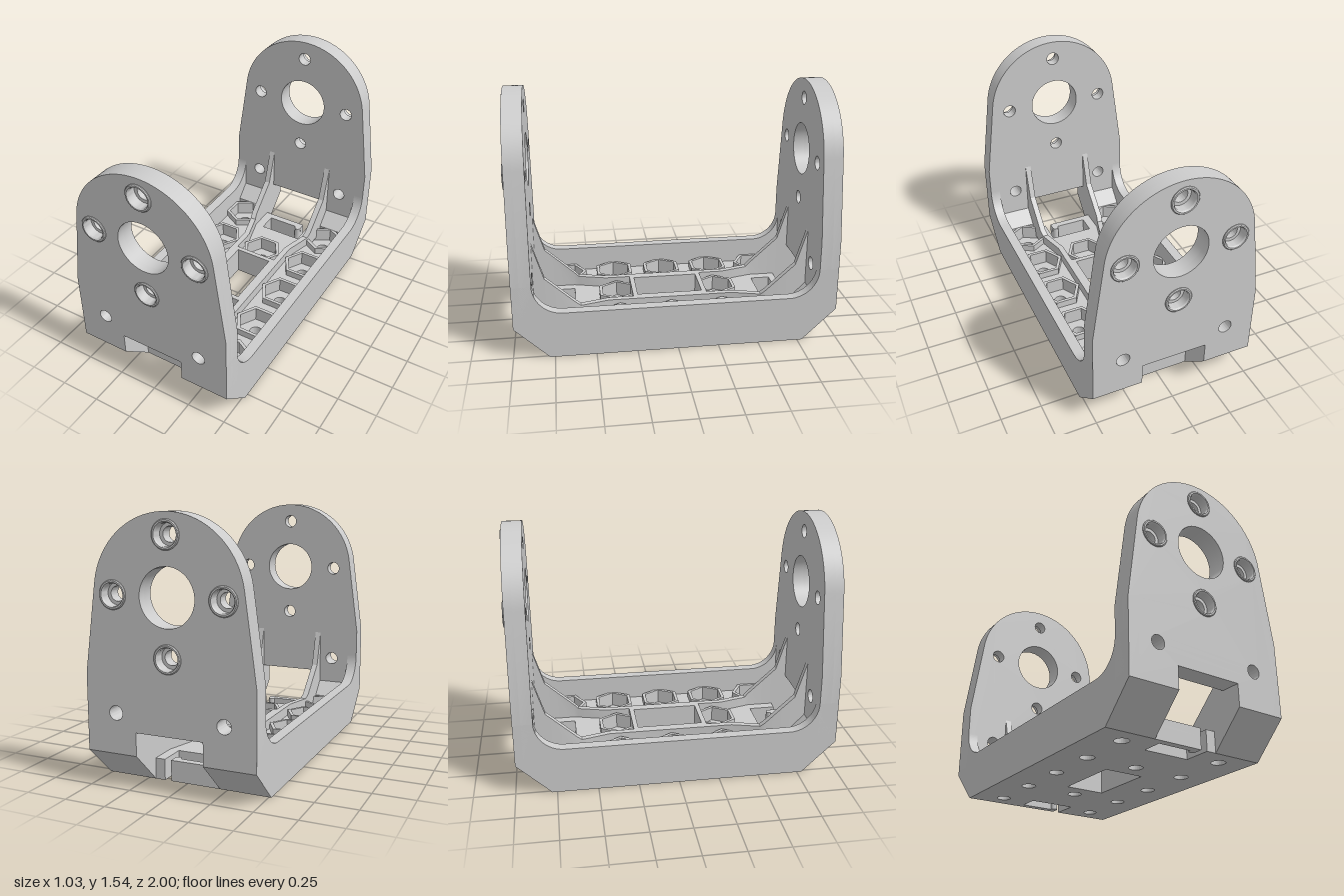
import * as THREE from 'three';
import { toCreasedNormals } from 'three/addons/utils/BufferGeometryUtils.js';

const grey = new THREE.MeshStandardMaterial({ color: 0xcccccc });

function add(parent, name, geometry) {
  const mesh = new THREE.Mesh(toCreasedNormals(geometry, 0.5), grey);
  mesh.name = name;
  parent.add(mesh);
  return mesh;
}

const polygon = (pts) => new THREE.Shape(pts.map(([x, y]) => new THREE.Vector2(x, y)));

function circle(x, y, r) {
  return new THREE.Path().absarc(x, y, r, 0, Math.PI * 2, true);
}

function hexPoints(x, y, r, turn) {
  return Array.from({ length: 6 }, (_, i) => {
    const a = (i * Math.PI) / 3 + turn;
    return [x + r * Math.cos(a), y + r * Math.sin(a)];
  });
}

const extrude = (shape, depth) =>
  new THREE.ExtrudeGeometry(shape, { depth, bevelEnabled: false, curveSegments: 40 });

// Plan shape (x, -z) raised from y0 to y1
const slab = (shape, y0, y1) => extrude(shape, y1 - y0).rotateX(-Math.PI / 2).translate(0, y0, 0);

// Side profile (z, y) stretched from x0 to x1
const across = (shape, x0, x1) => extrude(shape, x1 - x0).rotateY(-Math.PI / 2).translate(x1, 0, 0);

function box(x0, x1, y0, y1, z0, z1) {
  return new THREE.BoxGeometry(x1 - x0, y1 - y0, z1 - z0)
    .translate((x0 + x1) / 2, (y0 + y1) / 2, (z0 + z1) / 2);
}

// Nut pocket centres: two outer columns of five rows minus odd ones, and two in the middle
const pockets = [[0, 0.33, 0], [0, -0.33, 0]];
for (const x of [-0.33, 0.33]) {
  for (const z of [-0.66, -0.33, 0, 0.33, 0.66]) {
    pockets.push([x, z, Math.abs(z) > 0.5 ? Math.PI / 6 : 0]);
  }
}

// Floor outline with a hooked strap slot at each end
function floorShape() {
  const end = [
    [-0.515, -0.78], [0.105, -0.78], [0.105, -0.735], [-0.145, -0.735],
    [-0.145, -0.61], [0.145, -0.61], [0.145, -0.78], [0.515, -0.78],
  ];
  const shape = polygon([...end, ...end.map(([x, z]) => [x, -z]).reverse()]);
  shape.holes.push(polygon([[-0.125, -0.21], [-0.125, 0.21], [0.125, 0.21], [0.125, -0.21]]));
  return shape;
}

function buildFloor(root) {
  const floor = new THREE.Group();
  floor.name = 'floor';
  root.add(floor);

  const lower = floorShape();
  const upper = floorShape();
  for (const [x, z, turn] of pockets) {
    lower.holes.push(circle(x, -z, 0.042));
    upper.holes.push(polygon(hexPoints(x, -z, 0.115, turn)));
    const ring = polygon(hexPoints(x, -z, 0.138, turn));
    ring.holes.push(polygon(hexPoints(x, -z, 0.115, turn)));
    add(floor, 'nutPocketRing', slab(ring, 0.125, 0.17));
  }
  add(floor, 'floorLower', slab(lower, 0, 0.075));
  add(floor, 'floorUpper', slab(upper, 0.075, 0.125));

  // Raised frame around the central window, and the rounded strap tips
  for (const s of [-1, 1]) {
    add(floor, 'windowFrameEnd', box(-0.15, 0.15, 0.1, 0.19, s * 0.225 - 0.015, s * 0.225 + 0.015));
    add(floor, 'windowFrameSide', box(s * 0.138 - 0.013, s * 0.138 + 0.013, 0.1, 0.19, -0.21, 0.21));
    add(floor, 'strapTip', new THREE.CylinderGeometry(0.021, 0.021, 0.125, 20)
      .translate(0.084, 0.0625, s * 0.73));
  }
}

// Outer wall: chamfered below, filleted up into the end plates
function buildWalls(root) {
  const s = new THREE.Shape();
  s.moveTo(-0.78, 0);
  s.lineTo(0.78, 0);
  s.lineTo(0.99, 0.2);
  s.lineTo(0.99, 0.47);
  s.lineTo(0.87, 0.47);
  s.absarc(0.69, 0.47, 0.18, 0, -Math.PI / 2, true);
  s.lineTo(-0.69, 0.29);
  s.absarc(-0.69, 0.47, 0.18, -Math.PI / 2, -Math.PI, true);
  s.lineTo(-0.99, 0.47);
  s.lineTo(-0.99, 0.2);
  add(root, 'leftWall', across(s, 0.45, 0.515));
  add(root, 'rightWall', across(s, -0.515, -0.45));
}

// Inner rib: rectangular sections [z, inner x, top y] joined along z
function ribGeometry(side) {
  const half = [[0.88, 0.205, 0.65], [0.87, 0.205, 0.62], [0.8, 0.205, 0.39],
    [0.61, 0.205, 0.217], [0.58, 0.197, 0.19], [0.4, 0.147, 0.19]];
  const sections = [...half.map(([z, x, y]) => [-z, x, y]), ...half.slice().reverse()];
  const pos = [];
  const idx = [];
  for (const [z, x, top] of sections) {
    const a = side > 0 ? x : -x - 0.038;
    const b = a + 0.038;
    pos.push(a, 0.1, z, b, 0.1, z, b, top, z, a, top, z);
  }
  const last = (sections.length - 1) * 4;
  for (let i = 0; i < last; i += 4) {
    for (let k = 0; k < 4; k++) {
      const n = (k + 1) % 4;
      idx.push(i + k, i + n, i + 4 + n, i + k, i + 4 + n, i + 4 + k);
    }
  }
  idx.push(0, 2, 1, 0, 3, 2, last, last + 1, last + 2, last, last + 2, last + 3);
  const g = new THREE.BufferGeometry();
  g.setAttribute('position', new THREE.Float32BufferAttribute(pos, 3));
  g.setIndex(idx);
  g.computeVertexNormals();
  return g;
}

const screws = [[-0.33, 1.095], [0.33, 1.095], [0, 1.425], [0, 0.765]];

function plateShape(screwRadius) {
  const s = polygon([[-0.515, 0.2], [-0.205, 0.2], [-0.205, 0.335], [0.205, 0.335],
    [0.205, 0.2], [0.515, 0.2], [0.515, 0.65]]);
  s.absarc(0, 1.095, 0.45, 0.13, Math.PI - 0.13, false);
  s.lineTo(-0.515, 0.65);
  s.holes.push(circle(0, 1.095, 0.165), circle(-0.33, 0.435, 0.042), circle(0.33, 0.435, 0.042));
  for (const [x, y] of screws) s.holes.push(circle(x, y, screwRadius));
  return s;
}

// End plate facing +z with counterbored screw bosses and chamfered lower corners
function buildEnd(name) {
  const end = new THREE.Group();
  end.name = name;
  add(end, 'plateInner', extrude(plateShape(0.042), 0.07).translate(0, 0, 0.87));
  add(end, 'plateOuter', extrude(plateShape(0.062), 0.05).translate(0, 0, 0.94));

  const profile = [[0.062, 0.95], [0.082, 0.95], [0.082, 0.995], [0.077, 1], [0.068, 1],
    [0.062, 0.99], [0.062, 0.95]].map(([r, y]) => new THREE.Vector2(r, y));
  for (const [x, y] of screws) {
    add(end, 'screwBoss', new THREE.LatheGeometry(profile, 40).rotateX(Math.PI / 2)).position.set(x, y, 0);
  }

  const corner = polygon([[0.78, 0], [0.99, 0.2], [0.99, 0.335], [0.87, 0.335], [0.87, 0.26], [0.78, 0.17]]);
  add(end, 'leftCorner', across(corner, 0.205, 0.515));
  add(end, 'rightCorner', across(corner, -0.515, -0.205));
  return end;
}

export function createModel() {
  const root = new THREE.Group();
  root.name = 'bracket';
  buildFloor(root);
  buildWalls(root);
  add(root, 'leftRib', ribGeometry(1));
  add(root, 'rightRib', ribGeometry(-1));
  const back = buildEnd('backPlate');
  back.rotation.y = Math.PI;
  root.add(buildEnd('frontPlate'), back);
  return root;
}
